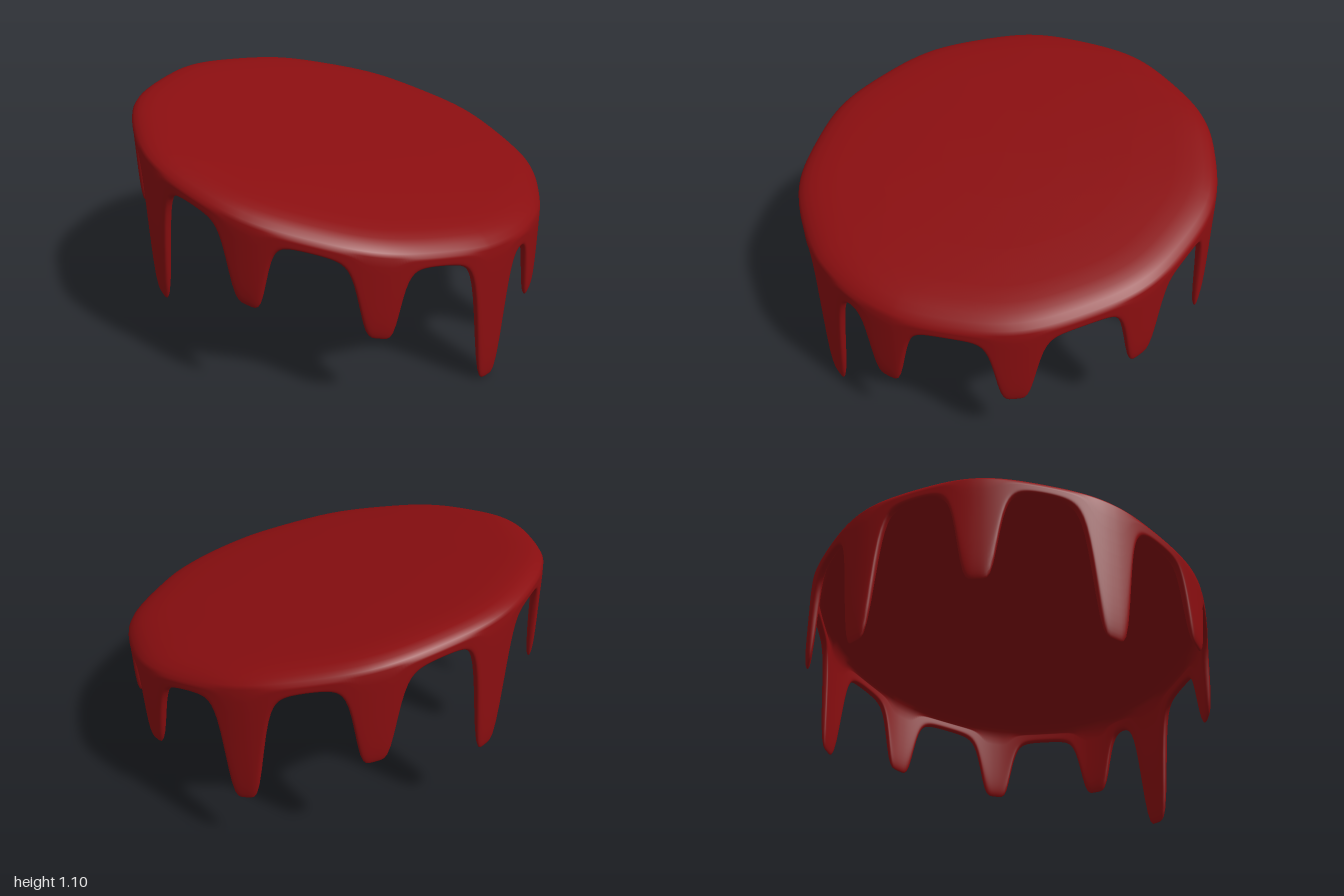
import * as THREE from 'three';

// Each drip: angle around the rim in degrees (from +x towards +z), height of its tip
const DRIPS = [
  [6, 0.255], [29, 0], [62.6, 0.365], [95.8, 0.49], [129, 0.335], [163, 0.57],
  [197, 0.41], [231, 0.535], [264, 0.305], [297, 0.36], [331.5, 0.275],
].map(([deg, tip]) => ({ angle: THREE.MathUtils.degToRad(deg), tip }));

const RX = 0.972, RZ = 1, SKIRT = 0.105, THICK = 0.036, SEGMENTS = 480;

// Tilted, very slightly domed top surface
const topY = (x, r) => 0.925 - 0.222 * x - 0.012 * r * r;

const arc = (a, b) => Math.abs(Math.atan2(Math.sin(a - b), Math.cos(a - b)));

// Lower edge of the skirt: a short band with flared, round-tipped drips
function bottomY(theta) {
  let y = topY(RX * Math.cos(theta), 1) - SKIRT;
  for (const { angle, tip } of DRIPS) {
    const length = topY(RX * Math.cos(angle), 1) - SKIRT - tip;
    y -= length / (1 + (arc(theta, angle) / 0.095) ** 5);
  }
  return Math.max(y, 0);
}

// The rim bulges a little at each drip
function rimScale(theta) {
  let bulge = 0;
  for (const { angle } of DRIPS) bulge += Math.exp(-((arc(theta, angle) / 0.25) ** 2));
  return 0.978 + 0.022 * Math.min(1, bulge);
}

// Closed cross-section from top centre, over the rim, down the wall, back inside
function makeProfile() {
  const rings = [];
  for (const [r, drop] of [[0, 0], [0.3, 0], [0.6, 0], [0.8, 0.002], [0.88, 0.008],
    [0.93, 0.017], [0.965, 0.031], [0.988, 0.048], [0.998, 0.064]]) rings.push({ r, drop });
  const steps = 16;
  const wall = (i, side) => {
    const s = Math.sin((i / steps) * Math.PI / 2);
    const half = (THICK / 2) * Math.sqrt(Math.max(0, 1 - s ** 8));
    rings.push({ r: 1 - THICK / 2 + side * half, s });
  };
  for (let i = 1; i <= steps; i++) wall(i, 1);
  for (let i = steps - 1; i >= 1; i--) wall(i, -1);
  for (const [r, drop] of [[0.955, 0.066], [0.93, 0.058], [0.88, 0.052], [0.6, 0.05], [0, 0.05]])
    rings.push({ r, drop });
  return rings;
}

function makeShell() {
  const rings = makeProfile();
  const positions = [], index = [];
  for (const { r, drop, s } of rings) {
    for (let j = 0; j < SEGMENTS; j++) {
      const theta = (j / SEGMENTS) * Math.PI * 2;
      const radius = r * rimScale(theta);
      const x = RX * radius * Math.cos(theta), z = RZ * radius * Math.sin(theta);
      let y = topY(x, r);
      if (s === undefined) y -= drop;
      else y = THREE.MathUtils.lerp(y - 0.068, bottomY(theta), s);
      positions.push(x, y, z);
    }
  }
  for (let i = 0; i < rings.length - 1; i++) {
    for (let j = 0; j < SEGMENTS; j++) {
      const k = (j + 1) % SEGMENTS;
      const a = i * SEGMENTS + j, b = i * SEGMENTS + k;
      const c = a + SEGMENTS, d = b + SEGMENTS;
      if (rings[i].r > 0) index.push(a, b, c);
      if (rings[i + 1].r > 0) index.push(b, d, c);
    }
  }
  const geometry = new THREE.BufferGeometry();
  geometry.setAttribute('position', new THREE.Float32BufferAttribute(positions, 3));
  geometry.setIndex(index);
  geometry.computeVertexNormals();
  // The fans at the two centres share one normal each
  const normal = geometry.attributes.normal;
  const last = (rings.length - 1) * SEGMENTS;
  for (let j = 0; j < SEGMENTS; j++) {
    normal.setXYZ(j, 0.217, 0.976, 0);
    normal.setXYZ(last + j, -0.217, -0.976, 0);
  }
  return geometry;
}

export function createModel() {
  const group = new THREE.Group();
  group.name = 'drippingGlaze';
  const material = new THREE.MeshStandardMaterial({ color: 0x8a0e10 });
  const glaze = new THREE.Mesh(makeShell(), material);
  glaze.name = 'glazeWithDrips';
  group.add(glaze);
  return group;
}
